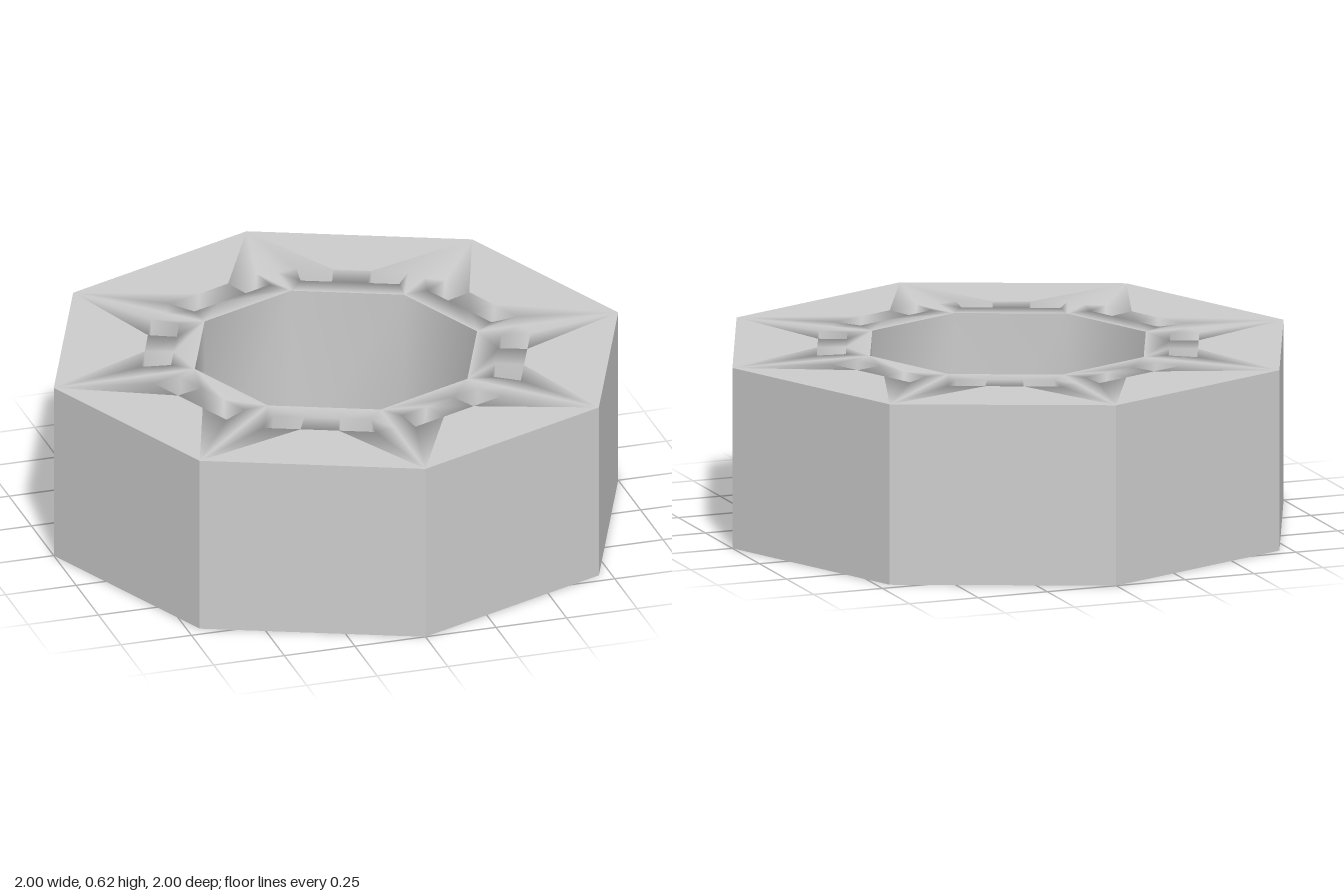
import * as THREE from 'three';
import { mergeVertices } from 'three/addons/utils/BufferGeometryUtils.js';

const HEIGHT = 0.625, SIDES = 8;
const HALF = Math.PI / SIDES;

// point on the ray through an octagon corner, as [distance outwards, offset along the side]
const onCorner = (r) => [r * Math.cos(HALF), r * Math.sin(HALF)];

// points of half a side: outer and inner corner, a point between, and one slot
const outer = onCorner(1), inner = onCorner(0.5), ridge = onCorner(0.65);
const a = [0.545, 0.167], b = [0.643, 0.19], c = [0.643, 0.065], d = [0.545, 0.06];
const flip = ([p, q]) => [p, -q];
const mirrored = (poly) => poly.map(flip).reverse();

// collects polygons and turns them into a geometry, repeated around the ring
class Faces {
  constructor() { this.positions = []; }
  add(points) {
    for (let i = 1; i < points.length - 1; i++) {
      for (const p of [points[0], points[i], points[i + 1]]) this.positions.push(...p);
    }
  }
  build(smooth) {
    let geometry = new THREE.BufferGeometry();
    geometry.setAttribute('position', new THREE.Float32BufferAttribute(this.positions, 3));
    if (smooth) geometry = mergeVertices(geometry, 1e-4);
    geometry.computeVertexNormals();
    return geometry;
  }
}

export function createModel() {
  const grey = new THREE.MeshStandardMaterial({ color: 0xcccccc });
  grey.name = 'light grey';

  const outerWall = new Faces(), innerWall = new Faces();
  const flatCaps = new Faces(), slottedBand = new Faces();

  for (let k = 0; k < SIDES; k++) {
    const angle = HALF * (2 * k + 1), cos = Math.cos(angle), sin = Math.sin(angle);
    const place = ([p, q], y) => [p * cos - q * sin, y, p * sin + q * cos];
    const caps = (faces, poly) => {
      faces.add(poly.map((v) => place(v, 0)));
      faces.add([...poly].reverse().map((v) => place(v, HEIGHT)));
    };
    const wall = (faces, u, v) =>
      faces.add([place(u, 0), place(v, 0), place(v, HEIGHT), place(u, HEIGHT)]);

    // upright walls
    wall(outerWall, outer, flip(outer));
    wall(innerWall, flip(inner), inner);

    // flat outer part of top and bottom
    caps(flatCaps, [flip(c), flip(outer), outer, c]);

    // softly shaded band around the slots
    caps(slottedBand, [flip(d), flip(c), c, d]);
    caps(slottedBand, [flip(inner), flip(d), d, inner]);
    const halfPolys = [[outer, b, c], [outer, ridge, b], [ridge, inner, a, b], [inner, d, a]];
    for (const poly of halfPolys) {
      caps(slottedBand, poly);
      caps(slottedBand, mirrored(poly));
    }

    // walls of the two slots, running right through
    for (const slot of [[d, c, b, a], mirrored([d, c, b, a])]) {
      slot.forEach((v, i) => wall(slottedBand, v, slot[(i + 1) % 4]));
    }
  }

  const group = new THREE.Group();
  group.name = 'slottedRing';
  const addPart = (name, faces, smooth) => {
    const mesh = new THREE.Mesh(faces.build(smooth), grey);
    mesh.name = name;
    group.add(mesh);
  };
  addPart('outerWall', outerWall, false);
  addPart('innerWall', innerWall, true);
  addPart('flatCaps', flatCaps, false);
  addPart('slottedBand', slottedBand, true);
  return group;
}
